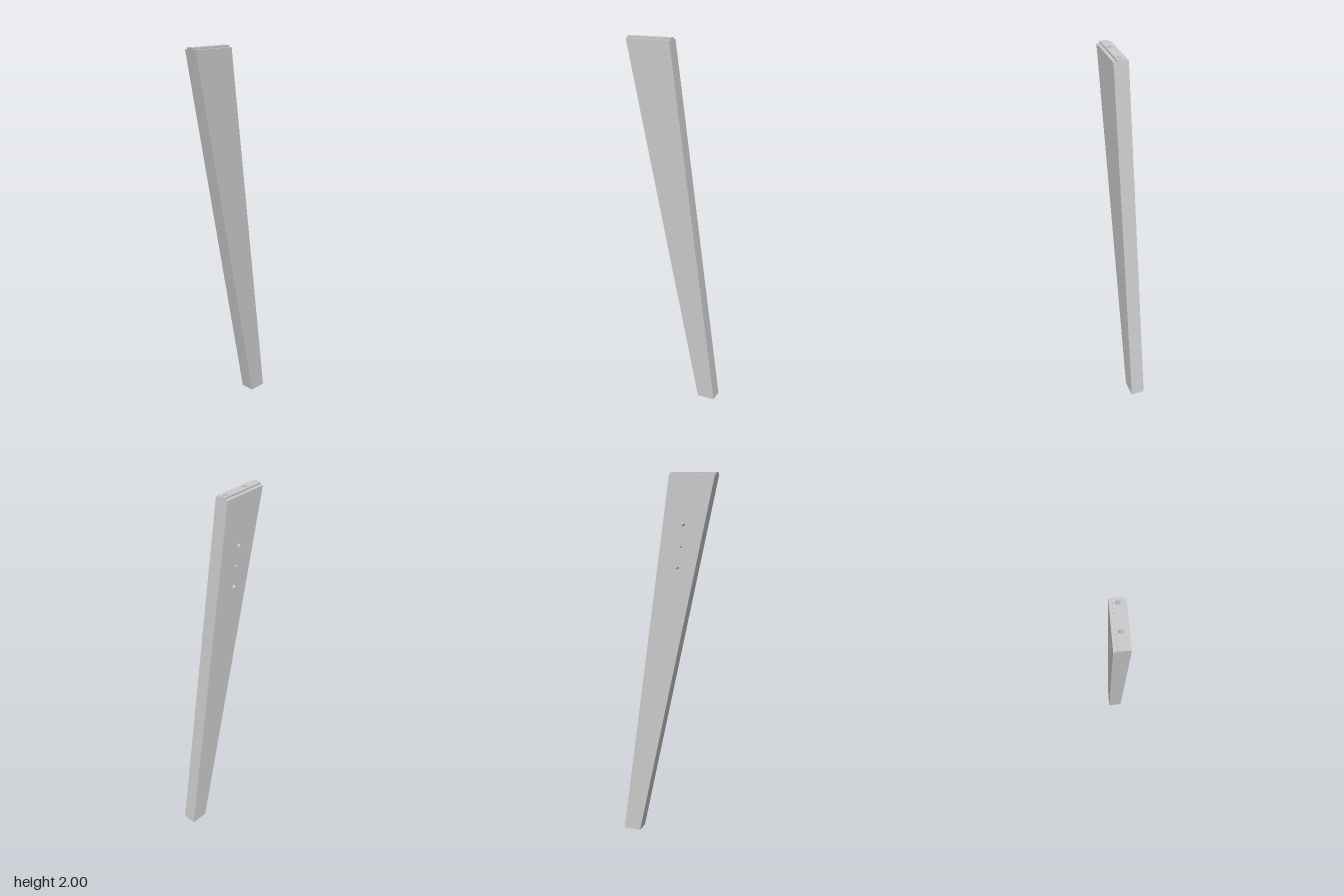
import * as THREE from 'three';

const grey = new THREE.MeshStandardMaterial({ color: 0xcccccc, flatShading: true });
const boreGrey = new THREE.MeshStandardMaterial({ color: 0xcccccc, side: THREE.BackSide });

// Slanted, tapering edges of the leg
const leftX = (y) => 0.16 - 0.2095 * y;
const rightX = (y) => 0.257 - 0.1375 * y;

const halfDepth = 0.038, tongueHalf = 0.021, shoulderY = 1.99, topY = 2;

// Stepped cross-section as [z, y], going up the front and down the back
const profile = [
  [halfDepth, 0], [halfDepth, shoulderY], [tongueHalf, shoulderY], [tongueHalf, topY],
  [-tongueHalf, topY], [-tongueHalf, shoulderY], [-halfDepth, shoulderY], [-halfDepth, 0],
];
const TONGUE_TOP = 3, BACK = 6; // strips replaced by drilled faces

function legShell() {
  const pos = [];
  const L = profile.map(([z, y]) => [leftX(y), y, z]);
  const R = profile.map(([z, y]) => [rightX(y), y, z]);
  const quad = (a, b, c, d) => pos.push(...a, ...b, ...c, ...a, ...c, ...d);
  profile.forEach((_, i) => {
    const j = (i + 1) % profile.length;
    if (i !== TONGUE_TOP && i !== BACK) quad(L[i], R[i], R[j], L[j]);
  });
  // Narrow sides of body and tongue
  for (const [a, b, c, d] of [[0, 1, 6, 7], [2, 3, 4, 5]]) {
    quad(L[a], L[b], L[c], L[d]);
    quad(R[d], R[c], R[b], R[a]);
  }
  const geo = new THREE.BufferGeometry();
  geo.setAttribute('position', new THREE.Float32BufferAttribute(pos, 3));
  geo.computeVertexNormals();
  return geo;
}

// Flat face with round holes given as [u, v, radius]
function drilledFace(corners, holes) {
  const shape = new THREE.Shape(corners.map(([u, v]) => new THREE.Vector2(u, v)));
  for (const [u, v, r] of holes) {
    shape.holes.push(new THREE.Path().absarc(u, v, r, 0, Math.PI * 2, true));
  }
  return new THREE.ShapeGeometry(shape, 12);
}

// Blind hole sinking along local -y from its mouth at the origin
function blindHole(name, radius, depth) {
  const hole = new THREE.Group();
  hole.name = name;
  const wall = new THREE.Mesh(
    new THREE.CylinderGeometry(radius, radius, depth, 24, 1, true).translate(0, -depth / 2, 0), boreGrey);
  wall.name = name + 'Wall';
  const floor = new THREE.Mesh(
    new THREE.CircleGeometry(radius, 24).rotateX(-Math.PI / 2).translate(0, -depth, 0), grey);
  floor.name = name + 'Floor';
  hole.add(wall, floor);
  return hole;
}

export function createModel() {
  const leg = new THREE.Group();
  leg.name = 'taperedLeg';
  const add = (name, geo) => {
    const mesh = new THREE.Mesh(geo, grey);
    mesh.name = name;
    leg.add(mesh);
  };

  add('legBody', legShell());

  // Back face with three screw holes, drawn mirrored then turned to face -z
  const screwHoles = [[-0.098, 1.735, 0.011], [-0.082, 1.625, 0.008], [-0.067, 1.515, 0.011]];
  const backCorners = [[leftX(0), 0], [rightX(0), 0], [rightX(shoulderY), shoulderY], [leftX(shoulderY), shoulderY]];
  add('backFace', drilledFace(
    backCorners.map(([x, y]) => [-x, y]),
    screwHoles.map(([x, y, r]) => [-x, y, r]),
  ).rotateY(Math.PI).translate(0, 0, -halfDepth));
  for (const [x, y, r] of screwHoles) {
    const hole = blindHole('screwHole', r, 0.045);
    hole.rotation.x = -Math.PI / 2;
    hole.position.set(x, y, -halfDepth);
    leg.add(hole);
  }

  // Tongue top with two dowel holes
  const dowelHoles = [[-0.173, 0, 0.011], [-0.042, 0, 0.011]];
  const l = leftX(topY), r = rightX(topY), t = tongueHalf;
  add('tongueTop', drilledFace([[l, -t], [r, -t], [r, t], [l, t]], dowelHoles)
    .rotateX(-Math.PI / 2).translate(0, topY, 0));
  for (const [x, , radius] of dowelHoles) {
    const hole = blindHole('dowelHole', radius, 0.1);
    hole.position.set(x, topY, 0);
    leg.add(hole);
  }

  return leg;
}
